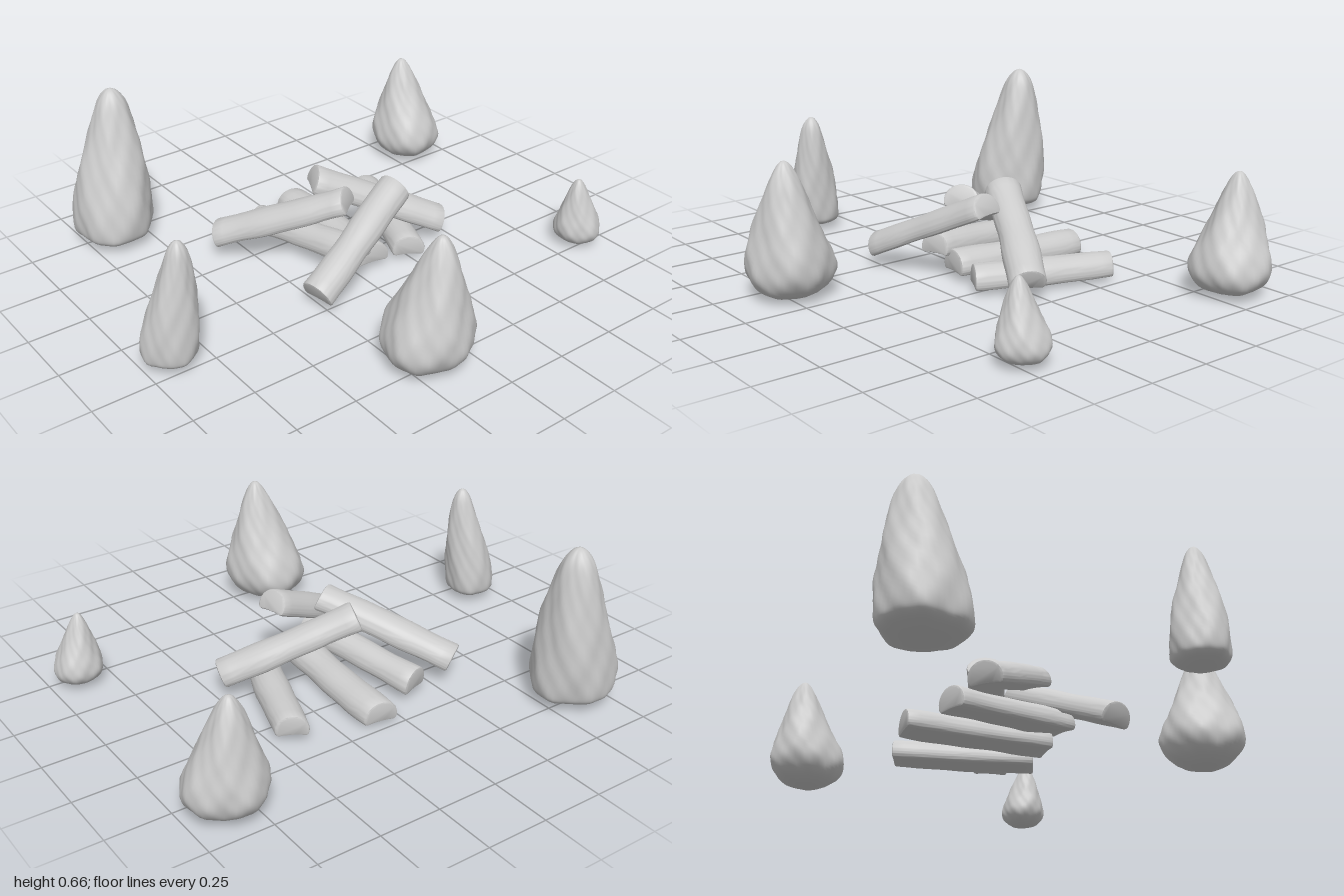
import * as THREE from 'three';
import { mergeVertices, toCreasedNormals } from 'three/addons/utils/BufferGeometryUtils.js';

const material = new THREE.MeshStandardMaterial({ color: 0xcccccc, roughness: 0.9 });

// Profiles as [height fraction, radius fraction], from base to tip
const BULLET = [[0, 0], [0.005, 0.5], [0.035, 0.86], [0.1, 0.98], [0.25, 0.97], [0.45, 0.84],
  [0.65, 0.65], [0.82, 0.47], [0.92, 0.33], [0.98, 0.16], [1, 0]];
const CONE = [[0, 0], [0.01, 0.4], [0.07, 0.78], [0.18, 0.98], [0.32, 0.95], [0.5, 0.76],
  [0.68, 0.55], [0.83, 0.37], [0.93, 0.22], [0.985, 0.1], [1, 0]];

// Smooth lumps: a few waves over the surface, shifted by seed
function lump(a, t, seed) {
  return 0.035 * Math.sin(3 * a + 5 * t + seed * 1.7)
    + 0.025 * Math.sin(5 * a - 9 * t + seed * 2.9)
    + 0.016 * Math.sin(8 * a + 17 * t + seed * 4.1)
    + 0.01 * Math.sin(13 * a - 31 * t + seed);
}

// Standing stone: a lathe leaned toward its tip and roughened
function makeStone({ name, base, tip, radius, bottom, top, profile }, seed) {
  const curve = new THREE.SplineCurve(profile.map(([t, r]) => new THREE.Vector2(r, t)));
  const points = curve.getPoints(56).map((p) => p.set(Math.max(p.x, 0), THREE.MathUtils.clamp(p.y, 0, 1)));
  let geometry = new THREE.LatheGeometry(points, 48);
  geometry.deleteAttribute('uv');
  geometry.deleteAttribute('normal');
  geometry = mergeVertices(geometry, 1e-4);
  const pos = geometry.attributes.position;
  for (let i = 0; i < pos.count; i++) {
    const x = pos.getX(i), t = pos.getY(i), z = pos.getZ(i);
    const r = radius * (1 + lump(Math.atan2(z, x), t, seed));
    const lean = t * t * (3 - 2 * t);
    pos.setXYZ(i,
      x * r + THREE.MathUtils.lerp(base[0], tip[0], lean),
      bottom + t * (top - bottom),
      z * r + THREE.MathUtils.lerp(base[1], tip[1], lean));
  }
  geometry.computeVertexNormals();
  const mesh = new THREE.Mesh(geometry, material);
  mesh.name = name;
  return mesh;
}

// Split log: round on top, flat underneath, laid from one point to another
function makeLog({ name, from, to, width, skew }, seed) {
  const start = new THREE.Vector3(...from), end = new THREE.Vector3(...to);
  const length = start.distanceTo(end);
  const bevel = 0.008, w = width / 2 - bevel, h = 0.075;
  const shape = new THREE.Shape();
  shape.moveTo(-w * 0.85, -h / 2);
  shape.quadraticCurveTo(0, -h / 2 + 0.008, w * 0.85, -h / 2);
  shape.quadraticCurveTo(w, -h / 2, w, -h / 2 + 0.018);
  shape.absellipse(0, -h / 2 + 0.018, w, h - 0.018, 0, Math.PI, false);
  shape.quadraticCurveTo(-w, -h / 2, -w * 0.85, -h / 2);
  const raw = new THREE.ExtrudeGeometry(shape, {
    depth: length - 2 * bevel, steps: 14, curveSegments: 14,
    bevelEnabled: true, bevelThickness: bevel, bevelSize: bevel, bevelSegments: 2,
  });
  raw.translate(0, 0, -length / 2 + bevel);
  // Gentle waviness along the wood and slanted ends
  const pos = raw.attributes.position;
  for (let i = 0; i < pos.count; i++) {
    const x = pos.getX(i), y = pos.getY(i), z = pos.getZ(i);
    const swell = 1 + 0.03 * Math.sin(z * 14 + seed * 2) + 0.02 * Math.sin(z * 31 + seed);
    pos.setXYZ(i, x * swell + 0.004 * Math.sin(z * 9 + seed), y * swell, z + skew * x);
  }
  const mesh = new THREE.Mesh(toCreasedNormals(raw, 0.7), material);
  mesh.position.copy(start).lerp(end, 0.5);
  mesh.lookAt(end);
  mesh.name = name;
  return mesh;
}

export function createModel() {
  const model = new THREE.Group();
  model.name = 'campfireWithStones';

  // Ring of standing stones; base and tip are [x, z]
  const stones = new THREE.Group();
  stones.name = 'stones';
  [
    { name: 'tallStone', base: [-0.63, -0.725], tip: [-0.58, -0.755], radius: 0.165, bottom: 0.02, top: 0.66, profile: BULLET },
    { name: 'narrowStone', base: [-0.895, 0.172], tip: [-0.85, 0.2], radius: 0.105, bottom: 0.02, top: 0.51, profile: BULLET },
    { name: 'frontStone', base: [-0.165, 0.718], tip: [-0.13, 0.75], radius: 0.17, bottom: 0, top: 0.53, profile: CONE },
    { name: 'backStone', base: [0.845, -0.585], tip: [0.835, -0.625], radius: 0.152, bottom: 0.01, top: 0.47, profile: CONE },
    { name: 'smallStone', base: [0.885, 0.47], tip: [0.865, 0.473], radius: 0.095, bottom: 0.01, top: 0.3, profile: CONE },
  ].forEach((s, i) => stones.add(makeStone(s, i + 1)));

  // Firewood: two logs on the ground, the rest propped on one another
  const logs = new THREE.Group();
  logs.name = 'firewood';
  [
    { name: 'groundLogRight', from: [0.43, 0.062, -0.37], to: [0.235, 0.065, 0.16], width: 0.135, skew: 0.15 },
    { name: 'groundLogMiddle', from: [0.1, 0.055, -0.475], to: [0.075, 0.075, 0.13], width: 0.145, skew: 0.1 },
    { name: 'lowLog', from: [-0.135, 0.08, -0.39], to: [-0.005, 0.135, 0.16], width: 0.13, skew: -0.1 },
    { name: 'leaningLogBack', from: [-0.35, 0.1, -0.36], to: [0.005, 0.31, 0.04], width: 0.145, skew: 0.1 },
    { name: 'leaningLogRight', from: [0.465, 0.09, 0.08], to: [0.005, 0.315, -0.18], width: 0.145, skew: -0.08 },
    { name: 'leaningLogFront', from: [-0.29, 0.085, 0.23], to: [0.215, 0.325, 0.085], width: 0.14, skew: 0.1 },
  ].forEach((l, i) => logs.add(makeLog(l, i + 1)));

  model.add(stones, logs);
  return model;
}
